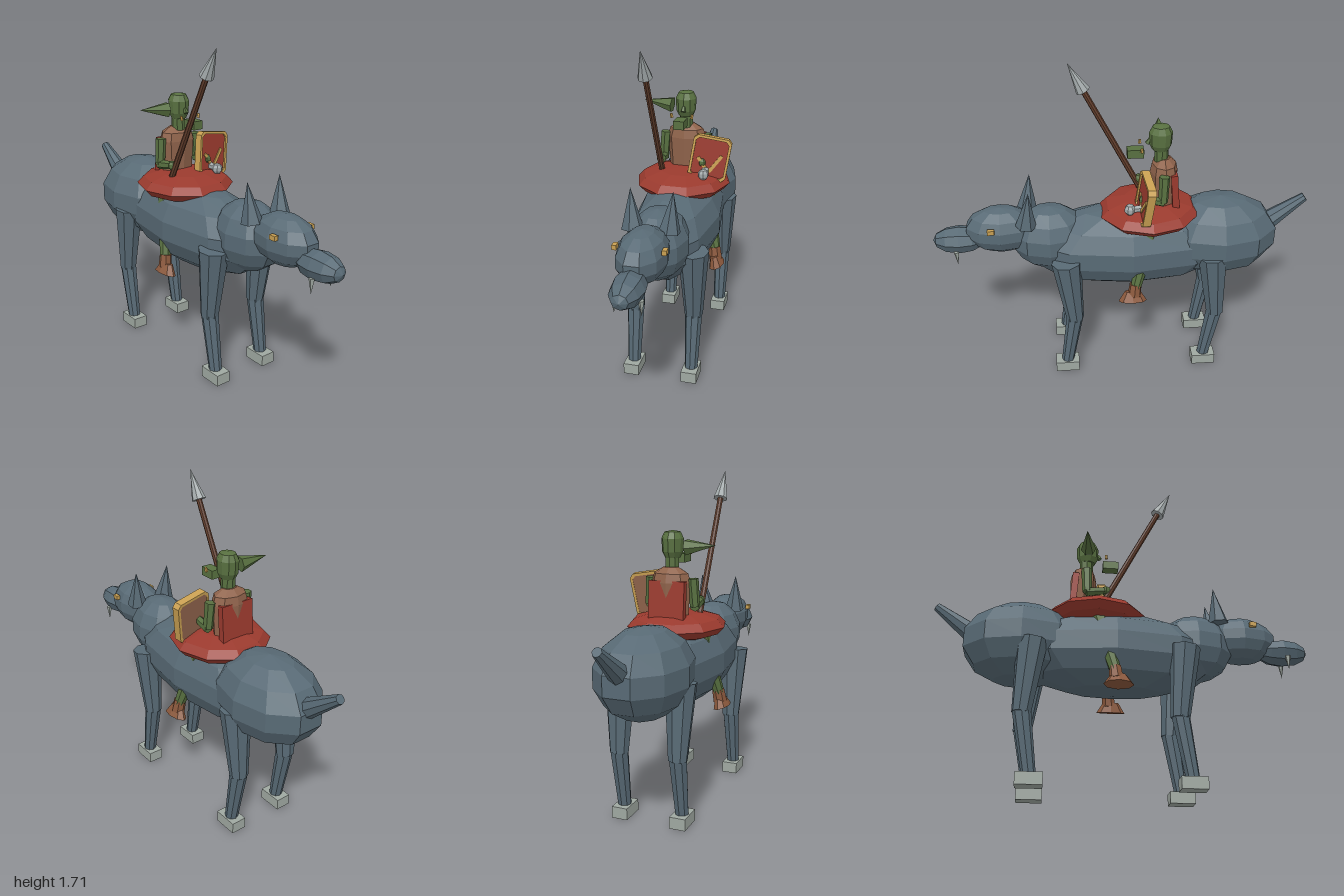
import * as THREE from 'three';

const mat = (name, color) => {
  const m = new THREE.MeshStandardMaterial({ color, flatShading: true });
  m.name = name;
  return m;
};

export function createModel() {
  const fur = mat('slate fur', 0x586a75);
  const claw = mat('pale claw', 0x9fa8a1);
  const red = mat('red cloth', 0x9a3a2e);
  const leather = mat('tan leather', 0x8f634b);
  const boot = mat('boot brown', 0x8a583c);
  const wood = mat('dark wood', 0x643f2d);
  const skin = mat('green skin', 0x587040);
  const gold = mat('gold', 0xc9a052);
  const metal = mat('steel', 0xa3aaab);

  const model = new THREE.Group();
  model.name = 'wolfRider';
  const V = (p) => new THREE.Vector3(...p);

  const add = (name, geo, material, pos = [0, 0, 0], rot = [0, 0, 0], parent = model) => {
    const mesh = new THREE.Mesh(geo, material);
    mesh.name = name;
    mesh.position.set(...pos);
    mesh.rotation.set(...rot);
    parent.add(mesh);
    return mesh;
  };
  // faceted ellipsoid
  const blob = (name, material, pos, r, w = 10, h = 7) =>
    add(name, new THREE.SphereGeometry(1, w, h).scale(...r), material, pos);
  const box = (name, material, pos, size, rot) =>
    add(name, new THREE.BoxGeometry(...size), material, pos, rot);
  // tapered cylinder running from point a to point b
  const limb = (name, material, a, b, ra, rb, seg = 8) => {
    const from = V(a), dir = V(b).sub(from);
    const mesh = add(name, new THREE.CylinderGeometry(rb, ra, dir.length(), seg), material);
    mesh.position.copy(from).addScaledVector(dir, 0.5);
    mesh.quaternion.setFromUnitVectors(new THREE.Vector3(0, 1, 0), dir.normalize());
    return mesh;
  };

  // Wolf body, head and tail
  blob('wolfBody', fur, [0, 0.74, -0.05], [0.23, 0.225, 0.58]);
  blob('wolfRump', fur, [0, 0.78, -0.53], [0.23, 0.225, 0.32]);
  blob('wolfNeck', fur, [0, 0.8, 0.38], [0.16, 0.182, 0.21]);
  blob('wolfHead', fur, [0, 0.858, 0.635], [0.122, 0.128, 0.195]);
  add('wolfMuzzle', new THREE.SphereGeometry(1, 8, 6).rotateX(Math.PI / 2).scale(0.08, 0.075, 0.14),
    fur, [0, 0.8, 0.86]);
  limb('wolfTail', fur, [0, 0.81, -0.76], [0, 0.977, -0.985], 0.058, 0.024);

  for (const s of [-1, 1]) {
    limb('wolfEar', fur, [s * 0.09, 0.92, 0.5], [s * 0.104, 1.118, 0.477], 0.055, 0, 6);
    box('wolfEye', gold, [s * 0.118, 0.908, 0.68], [0.022, 0.024, 0.036]);
    limb('fang', claw, [s * 0.062, 0.76, 0.875], [s * 0.064, 0.682, 0.875], 0.016, 0, 5);

    // Wolf legs, front and hind
    for (const [label, z] of [['front', 0.3], ['hind', -0.475]]) {
      limb(label + 'UpperLeg', fur, [s * 0.16, 0.735, z], [s * 0.157, 0.355, z - 0.035], 0.08, 0.048);
      limb(label + 'LowerLeg', fur, [s * 0.157, 0.365, z - 0.033], [s * 0.157, 0.05, z + 0.017], 0.046, 0.034);
      box(label + 'Paw', claw, [s * 0.157, 0.031, z + 0.018], [0.083, 0.06, 0.13]);
    }
  }

  // Saddle
  blob('saddle', red, [0, 0.943, -0.147], [0.256, 0.075, 0.268], 10, 6);

  // Rider torso, cape, neck and head
  const torso = new THREE.LatheGeometry(
    [[0, 0.97], [0.09, 0.97], [0.105, 1.17], [0.092, 1.215], [0.04, 1.245], [0, 1.245]]
      .map((p) => new THREE.Vector2(...p)), 8).scale(1, 1, 0.68);
  add('riderTorso', torso, leather, [0, 0, -0.22]);
  box('cape', red, [0, 1.075, -0.272], [0.19, 0.21, 0.035], [0.08, 0, 0]);
  limb('riderNeck', skin, [0, 1.22, -0.205], [0, 1.31, -0.205], 0.036, 0.036);
  const skull = new THREE.LatheGeometry(
    [[0, -0.07], [0.038, -0.065], [0.052, -0.035], [0.055, 0.03], [0.04, 0.062], [0, 0.07]]
      .map((p) => new THREE.Vector2(...p)), 10).scale(1, 1, 1.1);
  add('riderHead', skull, skin, [0, 1.355, -0.2]);
  limb('riderNose', skin, [0, 1.35, -0.145], [0, 1.325, -0.132], 0.008, 0.014, 5);
  box('riderJaw', skin, [0, 1.278, -0.072], [0.056, 0.045, 0.085]);
  limb('riderEar', skin, [-0.075, 1.342, -0.2], [-0.235, 1.357, -0.216], 0.042, 0, 6);

  for (const s of [-1, 1]) {
    limb('tusk', gold, [s * 0.052, 1.3, -0.1], [s * 0.057, 1.322, -0.1], 0.009, 0.007, 5);
    // Rider arms
    limb('riderUpperArm', skin, [s * 0.113, 1.19, -0.21], [s * 0.122, 1.05, -0.205], 0.028, 0.025, 6);
    limb('riderForearm', skin, [s * 0.122, 1.05, -0.21], [s * 0.115, 1.065, -0.115], 0.026, 0.021, 6);
    blob('riderHand', skin, [s * 0.113, 1.065, -0.105], [0.026, 0.026, 0.026], 6, 5);
    // Rider legs and boots
    limb('riderLeg', skin, [s * 0.12, 0.92, -0.15], [s * 0.203, 0.57, -0.06], 0.05, 0.028, 7);
    limb('bootShaft', boot, [s * 0.197, 0.595, -0.062], [s * 0.207, 0.53, -0.055], 0.032, 0.036, 7);
    const foot = new THREE.CylinderGeometry(0.55, 1, 0.055, 8).scale(0.042, 1, 0.076);
    add('bootFoot', foot, boot, [s * 0.208, 0.525, -0.045], [0, 0, s * 0.25]);
  }

  // Spear
  limb('spearShaft', wood, [-0.112, 0.94, -0.145], [-0.112, 1.6, 0.195], 0.017, 0.015);
  limb('spearHead', metal, [-0.112, 1.57, 0.18], [-0.112, 1.715, 0.255], 0.038, 0);

  // Shield: rounded plates, tilted and held on the left side
  const plate = (w, h, depth, hole) => {
    const outline = (path, a, b, r) => {
      const pts = [[-a + r, -b], [a - r, -b], [a, -b + r], [a, b - r],
        [a - r, b], [-a + r, b], [-a, b - r], [-a, -b + r]];
      path.setFromPoints(pts.map((p) => new THREE.Vector2(...p)));
      path.closePath();
      return path;
    };
    const shape = outline(new THREE.Shape(), w / 2, h / 2, 0.02);
    if (hole) shape.holes.push(outline(new THREE.Path(), w / 2 - 0.014, h / 2 - 0.014, 0.016));
    return new THREE.ExtrudeGeometry(shape, { depth, bevelEnabled: false });
  };
  const shield = new THREE.Group();
  shield.name = 'shield';
  shield.position.set(0.152, 1.09, -0.112);
  shield.rotation.set(-0.1, 0.12, -0.15);
  model.add(shield);
  add('shieldRim', plate(0.204, 0.232, 0.042, true), gold, [0, 0, -0.02], [0, 0, 0], shield);
  add('shieldBack', plate(0.18, 0.208, 0.018), leather, [0, 0, -0.018], [0, 0, 0], shield);
  add('shieldFace', plate(0.18, 0.208, 0.012), red, [0, 0, 0], [0, 0, 0], shield);
  const stripe = (x, y, len, rz) =>
    add('shieldStripe', new THREE.BoxGeometry(0.018, len, 0.008), gold, [x, y, 0.014], [0, 0, rz], shield);
  stripe(0.035, -0.025, 0.11, -0.5);
  stripe(-0.035, -0.035, 0.08, 0.75);
  add('shieldBoss', new THREE.SphereGeometry(0.03, 7, 5), metal, [0.133, 1.02, -0.035]);
  limb('bossStem', metal, [0.133, 1.025, -0.1], [0.133, 1.02, -0.04], 0.02, 0.018, 6);

  return model;
}
